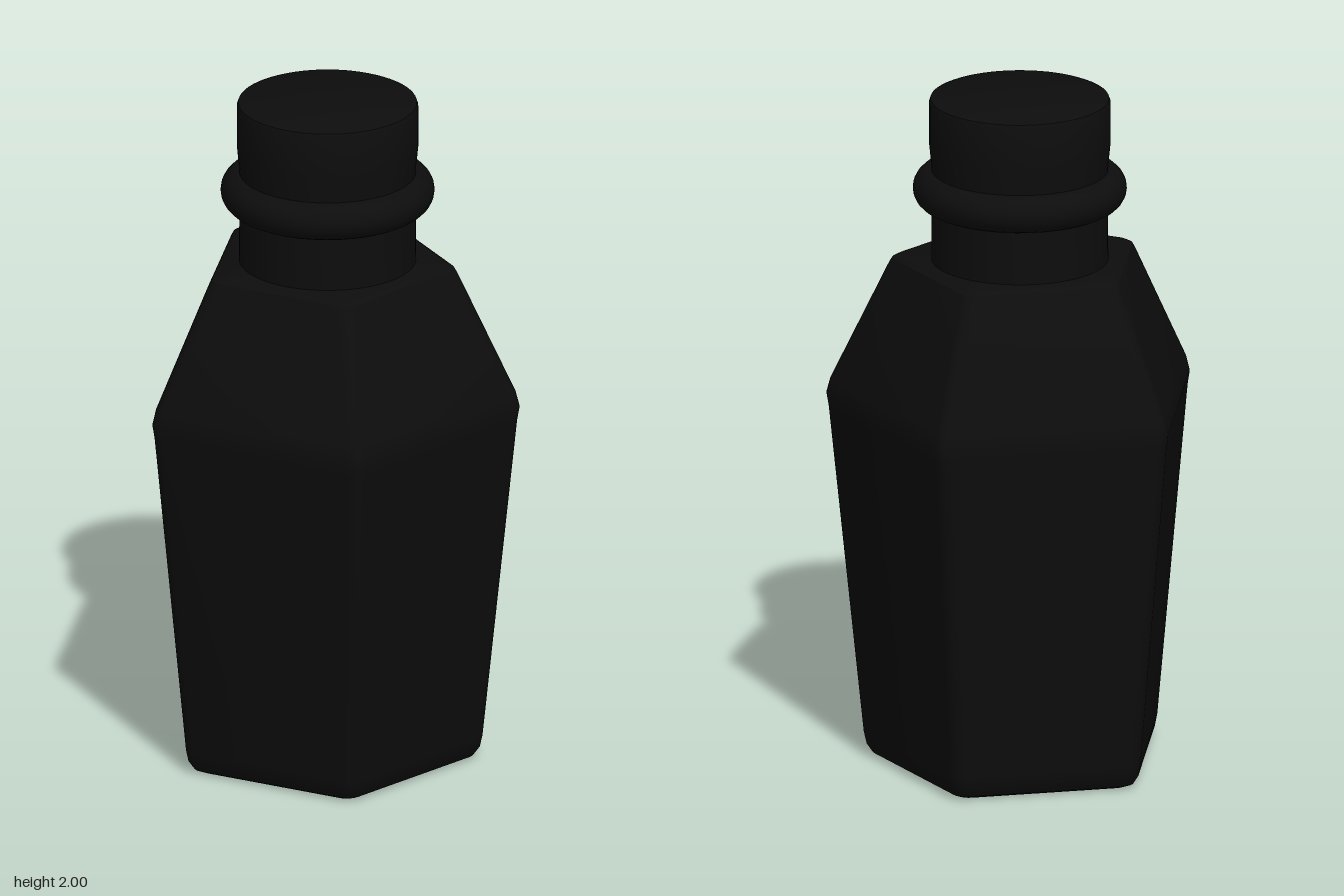
import * as THREE from 'three';
import { toCreasedNormals } from 'three/addons/utils/BufferGeometryUtils.js';

const CENTRE_Z = 0.05; // axis of the bottle
const material = new THREE.MeshStandardMaterial({ color: 0x0d0d0d });

// Regular pentagon with rounded corners, one corner pointing to the back
function pentagonRing(radius, y, corner = 0.04, steps = 4) {
  const ring = [];
  const arcCentre = radius - corner / Math.cos(Math.PI / 5);
  for (let i = 0; i < 5; i++) {
    const a = Math.PI + (i * 2 * Math.PI) / 5;
    for (let j = 0; j <= steps; j++) {
      const b = a + (j / steps - 0.5) * (2 * Math.PI / 5);
      ring.push([
        Math.sin(a) * arcCentre + Math.sin(b) * corner,
        y,
        Math.cos(a) * arcCentre + Math.cos(b) * corner,
      ]);
    }
  }
  return ring;
}

// Skin a stack of rings from bottom to top and close both ends
function loft(rings) {
  const n = rings[0].length;
  const positions = rings.flat(2);
  const index = [];
  for (let k = 0; k < rings.length - 1; k++) {
    for (let i = 0; i < n; i++) {
      const a = k * n + i, b = k * n + (i + 1) % n;
      index.push(a, b, b + n, a, b + n, a + n);
    }
  }
  const last = (rings.length - 1) * n;
  const bottom = rings.length * n, top = bottom + 1;
  positions.push(0, rings[0][0][1], 0, 0, rings[rings.length - 1][0][1], 0);
  for (let i = 0; i < n; i++) {
    const j = (i + 1) % n;
    index.push(bottom, j, i, top, last + i, last + j);
  }
  const geometry = new THREE.BufferGeometry();
  geometry.setAttribute('position', new THREE.Float32BufferAttribute(positions, 3));
  geometry.setIndex(index);
  return toCreasedNormals(geometry, Math.PI / 6);
}

function lathe(points) {
  const profile = points.map(([r, y]) => new THREE.Vector2(r, y));
  return toCreasedNormals(new THREE.LatheGeometry(profile, 64), Math.PI / 6);
}

export function createModel() {
  const group = new THREE.Group();
  const add = (name, geometry, y = 0) => {
    const mesh = new THREE.Mesh(geometry, material);
    mesh.name = name;
    mesh.position.set(0, y, CENTRE_Z);
    group.add(mesh);
    return mesh;
  };

  // Five-sided body: softened foot, flaring walls, sloping shoulders
  const profile = [
    [0.41, 0], [0.435, 0.01], [0.453, 0.035], [0.461, 0.07],
    [0.562, 1.05], [0.569, 1.09], [0.557, 1.135],
    [0.387, 1.49], [0.378, 1.505], [0.362, 1.513],
  ];
  add('body', loft(profile.map(([r, y]) => pentagonRing(r, y))));

  // Round neck rising out of the shoulders
  add('neck', lathe([[0.255, 1.5], [0.253, 1.74]]));

  // Rounded collar around the neck
  const collar = add('collar', new THREE.TorusGeometry(0.252, 0.056, 20, 64), 1.727);
  collar.rotation.x = Math.PI / 2;

  // Stopper with a softened rim
  add('stopper', lathe([
    [0, 1.74], [0.253, 1.74], [0.255, 1.8], [0.261, 1.86],
    [0.261, 1.985], [0.257, 1.996], [0.248, 2], [0, 2],
  ]));

  return group;
}
